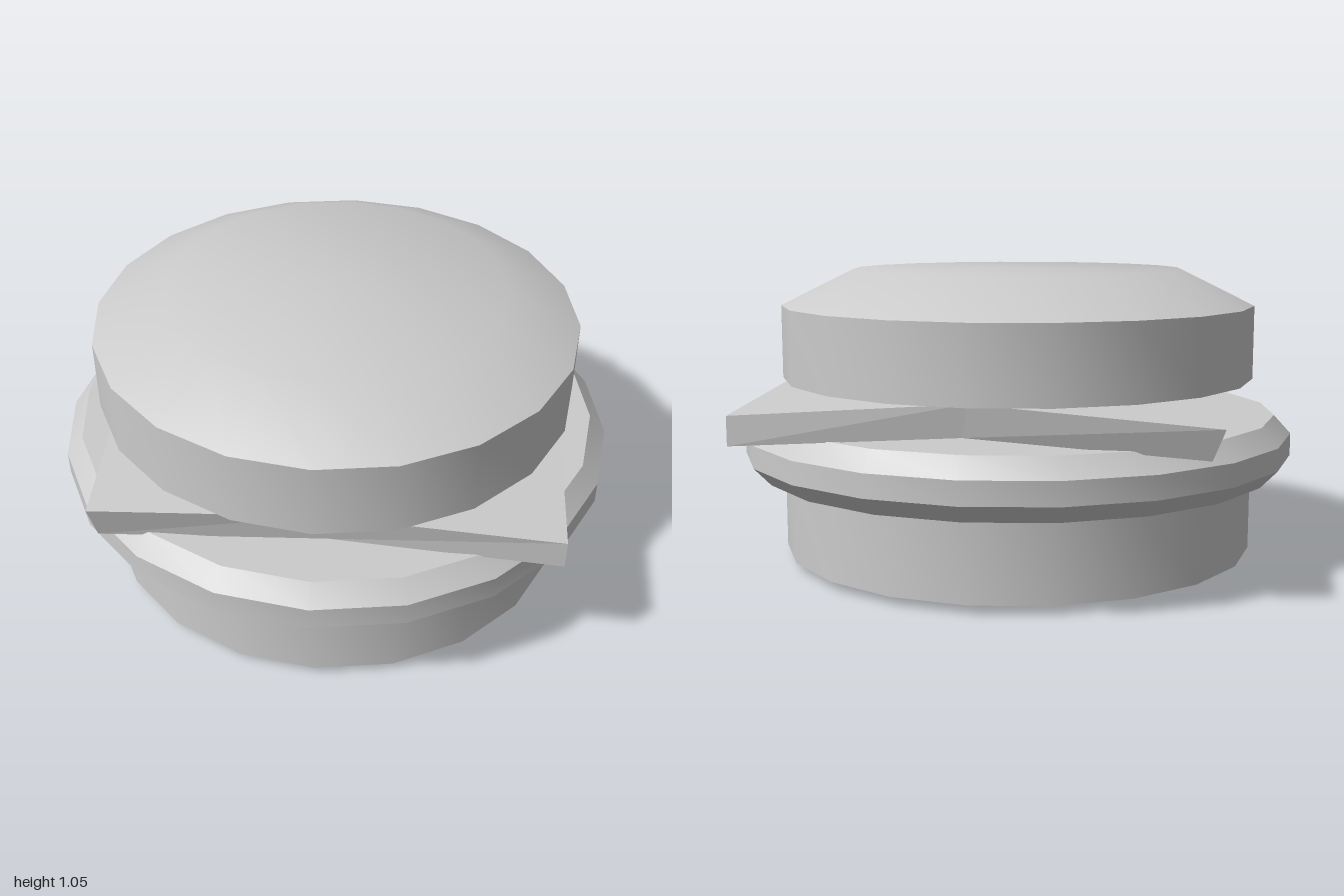
import * as THREE from 'three';
import { toCreasedNormals } from 'three/addons/utils/BufferGeometryUtils.js';

const material = new THREE.MeshStandardMaterial({ color: 0xcccccc });

function add(group, name, geometry) {
  const mesh = new THREE.Mesh(geometry, material);
  mesh.name = name;
  group.add(mesh);
}

// Round layer with 20 sides; profile is [radius, y] from bottom to top
function roundLayer(profile) {
  const points = profile.map(([r, y]) => new THREE.Vector2(r, y));
  return toCreasedNormals(new THREE.LatheGeometry(points, 20), THREE.MathUtils.degToRad(32));
}

// Square slice: a flat diamond in the middle with four corners folded down
function cheeseSlice() {
  // corner: top x, z, y then bottom x, z, y
  const corners = [
    [0.805, 0.775, 0.6, 0.805, 0.775, 0.5],
    [0.805, -0.81, 0.6, 0.805, -0.81, 0.5],
    [-0.785, -0.81, 0.605, -0.745, -0.775, 0.5],
    [-0.745, 0.785, 0.625, -0.725, 0.755, 0.5],
  ];
  const top = [], bottom = [];
  corners.forEach((c, i) => {
    const n = corners[(i + 1) % 4];
    top.push(new THREE.Vector3(c[0], c[2], c[1]));
    top.push(new THREE.Vector3((c[0] + n[0]) / 2, 0.66, (c[1] + n[1]) / 2));
    bottom.push(new THREE.Vector3(c[3], c[5], c[4]));
    bottom.push(new THREE.Vector3((c[3] + n[3]) / 2, 0.55, (c[4] + n[4]) / 2));
  });

  // The ring runs counter-clockwise seen from above
  const tris = [];
  const faces = [[1, 3, 5], [1, 5, 7], [7, 0, 1], [1, 2, 3], [3, 4, 5], [5, 6, 7]];
  for (const [a, b, c] of faces) {
    tris.push(top[a], top[b], top[c], bottom[a], bottom[c], bottom[b]);
  }
  for (let i = 0; i < 8; i++) {
    const j = (i + 1) % 8;
    tris.push(bottom[i], bottom[j], top[j], bottom[i], top[j], top[i]);
  }
  const geometry = new THREE.BufferGeometry().setFromPoints(tris);
  geometry.computeVertexNormals();
  return geometry;
}

export function createModel() {
  const group = new THREE.Group();
  group.name = 'burger';

  add(group, 'bottomBun', roundLayer([[0, 0], [0.6, 0.003], [0.86, 0.03], [0.86, 0.33], [0, 0.33]]));
  add(group, 'patty', roundLayer([[0, 0.317], [0.94, 0.317], [1, 0.38], [1, 0.46], [0.94, 0.525], [0, 0.525]]));
  add(group, 'cheeseSlice', cheeseSlice());
  add(group, 'topBun', roundLayer([[0, 0.655], [0.86, 0.655], [0.86, 0.917], [0.6, 1.045], [0, 1.047]]));

  return group;
}
